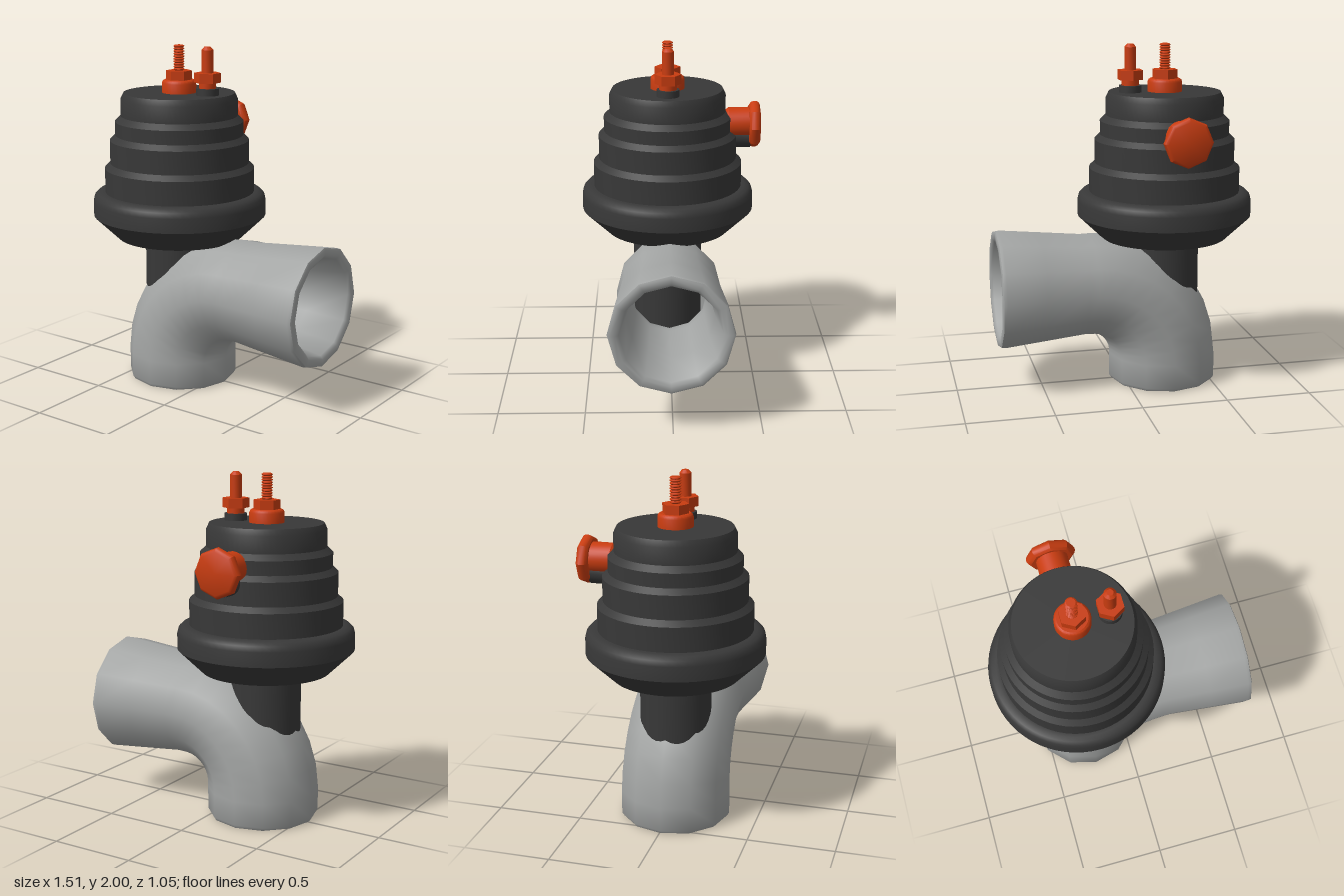
import * as THREE from 'three';
import { toCreasedNormals } from 'three/addons/utils/BufferGeometryUtils.js';

const mat = (name, color) => {
  const m = new THREE.MeshStandardMaterial({ color });
  m.name = name;
  return m;
};

export function createModel() {
  const group = new THREE.Group();
  const grey = mat('pipe grey', 0xa3a5a4);
  const dark = mat('charcoal', 0x383838);
  const orange = mat('burnt orange', 0xc83c10);
  const CX = -0.25, CZ = 0.015;

  const add = (name, geo, material, x = 0, y = 0, z = 0, crease = 0.6) => {
    const m = new THREE.Mesh(toCreasedNormals(geo, crease), material);
    m.name = name;
    m.position.set(x, y, z);
    group.add(m);
    return m;
  };
  // profile of [radius, height] pairs, listed from bottom to top
  const lathe = (pts, sides) =>
    new THREE.LatheGeometry(pts.map(([r, y]) => new THREE.Vector2(r, y)), sides);

  // Elbow pipe: u < 0 is the upright leg, 0..1 the bend, u > 1 the level arm
  const pipeRing = (u) => {
    const f = THREE.MathUtils.clamp(u, 0, 1) * Math.PI / 2;
    const c = new THREE.Vector3(0.2 - 0.44 * Math.cos(f), 0.16 + 0.44 * Math.sin(f), 0.01);
    if (u < 0) c.y += u;
    if (u > 1) c.x += u - 1;
    return { c, n: new THREE.Vector3(-Math.cos(f), Math.sin(f), 0) };
  };
  const wall = [[-0.16, 0.312], [-0.14, 0.325]];
  for (let i = 0; i <= 8; i++) wall.push([i / 8, 0.325 - 0.02 * i / 8]);
  wall.push([1.06, 0.303], [1.3, 0.327], [1.53, 0.35], [1.55, 0.347],
    [1.555, 0.335], [1.555, 0.305], [1.54, 0.285], [1.3, 0.25]);
  for (let i = 8; i >= 0; i--) wall.push([i / 8, 0.23]);
  wall.push([-0.13, 0.275], [-0.16, 0.295]);

  const SIDES = 12, pos = [], idx = [];
  wall.forEach(([u, r], i) => {
    const { c, n } = pipeRing(u);
    for (let j = 0; j < SIDES; j++) {
      const a = j / SIDES * Math.PI * 2;
      const p = c.clone().addScaledVector(n, r * Math.cos(a));
      pos.push(p.x, p.y, p.z + r * Math.sin(a));
      const k = (j + 1) % SIDES, next = (i + 1) % wall.length;
      const A = i * SIDES + j, B = i * SIDES + k, C = next * SIDES + j, D = next * SIDES + k;
      idx.push(A, B, C, B, D, C);
    }
  });
  const elbow = new THREE.BufferGeometry();
  elbow.setAttribute('position', new THREE.Float32BufferAttribute(pos, 3));
  elbow.setIndex(idx);
  add('elbowPipe', elbow, grey, 0, 0, 0, 1.0);

  // Stem running down into the elbow
  add('stem', new THREE.CylinderGeometry(0.205, 0.205, 0.75, 40), dark, CX, 0.525, CZ);

  // Stepped body
  add('steppedBody', lathe([
    [0, 0.87], [0.37, 0.87], [0.51, 1.005], [0.51, 1.09], [0.503, 1.12], [0.485, 1.138],
    [0.46, 1.145], [0.44, 1.145], [0.44, 1.285], [0.408, 1.315], [0.408, 1.45],
    [0.376, 1.48], [0.376, 1.56], [0.342, 1.592], [0.342, 1.69], [0.325, 1.725], [0, 1.725],
  ], 64), dark, CX, 0, CZ);

  // Centre fitting: collar, hex nut and threaded stud
  add('centreCollar', lathe([
    [0, 1.72], [0.1, 1.72], [0.1, 1.78], [0.095, 1.793], [0.085, 1.8], [0, 1.8],
  ], 32), orange, CX, 0, CZ);
  add('centreNut', new THREE.CylinderGeometry(0.075, 0.075, 0.055, 6), orange, CX, 1.825, CZ);
  const thread = [[0.026, 1.84]];
  for (let i = 0; i < 10; i++) {
    const y = 1.853 + i * 0.0147;
    thread.push([0.024, y], [0.032, y + 0.006], [0.032, y + 0.009]);
  }
  thread.push([0.024, 2], [0, 2]);
  add('threadedStud', lathe(thread, 16), orange, CX, 0, CZ);

  // Side fitting: dark seat, washer, hex nut and plain pin
  const SX = -0.045;
  add('pinSeat', new THREE.CylinderGeometry(0.065, 0.065, 0.05, 32), dark, SX, 1.74, CZ);
  add('pinWasher', new THREE.CylinderGeometry(0.05, 0.05, 0.045, 24), orange, SX, 1.785, CZ);
  add('pinNut', new THREE.CylinderGeometry(0.077, 0.077, 0.055, 6), orange, SX, 1.825, CZ);
  add('pin', lathe([[0.034, 1.84], [0.034, 1.983], [0.018, 2], [0, 2]], 20), orange, SX, 0, CZ);

  // Rear knob with its shaft and a dark support stub below
  const along = (name, geo, material, y, z) => {
    add(name, geo, material, CX, y, z).rotation.x = -Math.PI / 2;
  };
  along('knobShaft', lathe([[0, 0], [0.075, 0], [0.09, 0.02], [0.09, 0.16], [0, 0.16]], 28),
    orange, 1.515, -0.325);
  along('knobStub', new THREE.CylinderGeometry(0.07, 0.07, 0.16, 24), dark, 1.437, -0.395);
  along('knob', lathe([
    [0, 0], [0.118, 0], [0.133, 0.01], [0.14, 0.025], [0.14, 0.04],
    [0.133, 0.055], [0.118, 0.064], [0, 0.064],
  ], 8), orange, 1.505, -0.465);

  return group;
}
